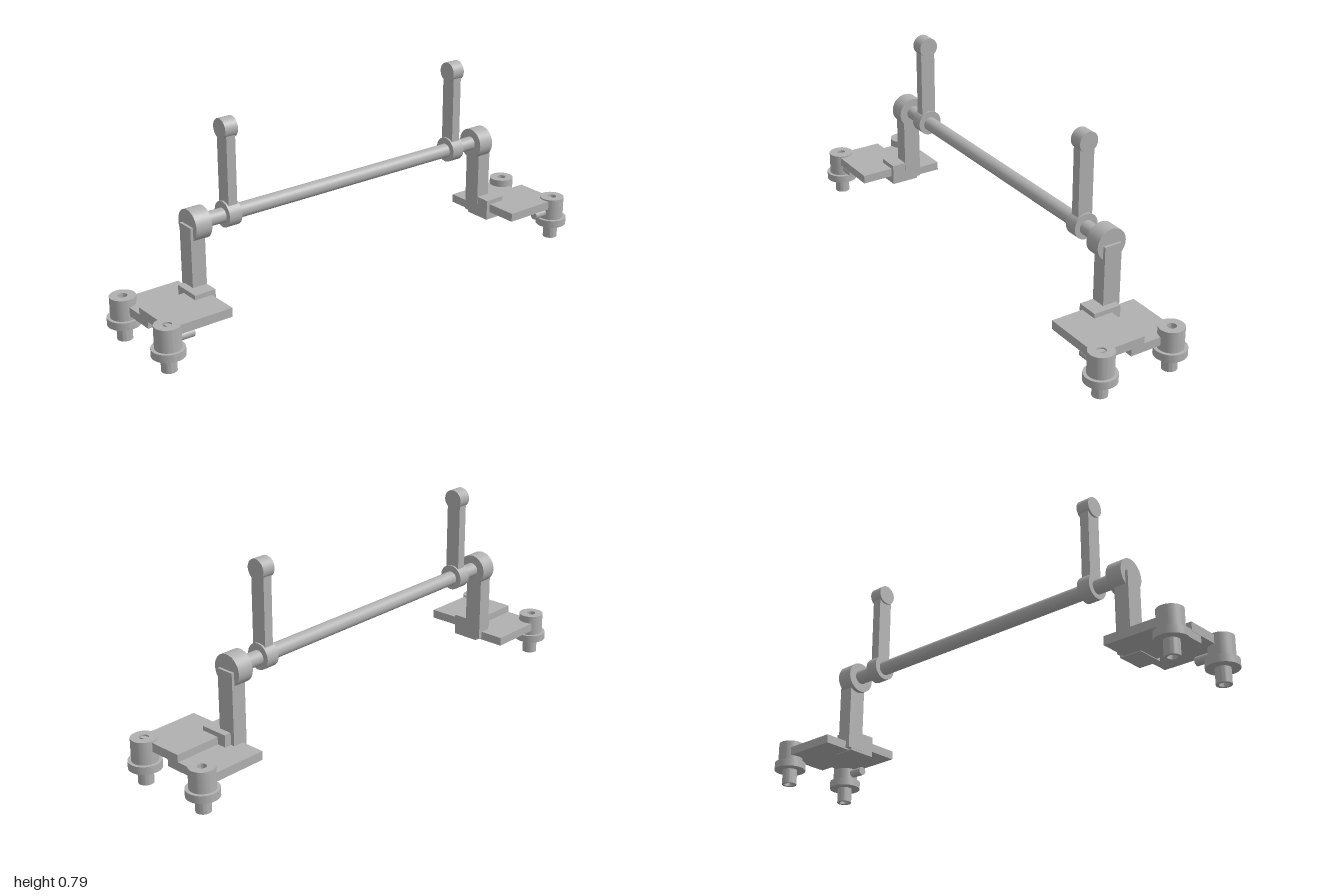
import * as THREE from 'three';
import { toCreasedNormals } from 'three/addons/utils/BufferGeometryUtils.js';

export function createModel() {
  const model = new THREE.Group();
  const grey = new THREE.MeshStandardMaterial({ color: 0xb0b0b0 });
  grey.name = 'plain grey';

  const add = (name, geometry, x = 0, y = 0, z = 0) => {
    const mesh = new THREE.Mesh(geometry, grey);
    mesh.name = name;
    mesh.position.set(x, y, z);
    model.add(mesh);
  };

  // box given by its limits, mirrored in z by s
  const box = (name, s, x0, x1, y0, y1, z0, z1) =>
    add(name, new THREE.BoxGeometry(x1 - x0, y1 - y0, z1 - z0),
      (x0 + x1) / 2, (y0 + y1) / 2, s * (z0 + z1) / 2);

  // solid cylinder lying along z
  const disc = (name, s, r, x, y, z0, z1) =>
    add(name, new THREE.CylinderGeometry(r, r, z1 - z0, 48).rotateX(Math.PI / 2),
      x, y, s * (z0 + z1) / 2);

  // stepped foot with a bore all the way through
  const foot = (top) => {
    const profile = [
      [0.018, 0], [0.029, 0], [0.029, 0.06], [0.062, 0.06], [0.062, 0.09],
      [0.049, 0.09], [0.049, top], [0.018, top], [0.018, 0],
    ].map(([r, y]) => new THREE.Vector2(r, y));
    return toCreasedNormals(new THREE.LatheGeometry(profile, 48), 0.6);
  };

  // long rod
  const axis = -0.05;
  disc('crossRod', 1, 0.028, axis, 0.422, -0.68, 0.68);

  for (const s of [1, -1]) {
    // upright arm with its ring on the rod and round cap
    disc('armRing', s, 0.05, axis, 0.425, 0.513, 0.567);
    box('arm', s, -0.08, -0.019, 0.43, 0.752, 0.521, 0.559);
    disc('armCap', s, 0.039, axis, 0.753, 0.513, 0.567);

    // end collar, leg and bracket
    disc('endCollar', s, 0.061, axis, 0.421, 0.65, 0.716);
    box('leg', s, -0.086, -0.014, 0.115, 0.423, 0.667, 0.727);
    box('bracket', s, -0.07, 0.044, 0.106, 0.19, 0.668, 0.755);

    // two overlapping base plates at different heights
    box('lowerPlate', s, -0.185, 0.023, 0.109, 0.143, 0.685, 0.94);
    box('upperPlate', s, -0.032, 0.175, 0.137, 0.172, 0.684, 0.941);

    // feet and the short peg under the upper plate
    add('rightFoot', foot(0.172), -0.153, 0, s * 0.938);
    add('leftFoot', foot(0.178), 0.151, 0, s * 0.938);
    disc('footPeg', s, 0.017, 0.151, 0.117, 0.835, 0.905);
  }
  return model;
}
